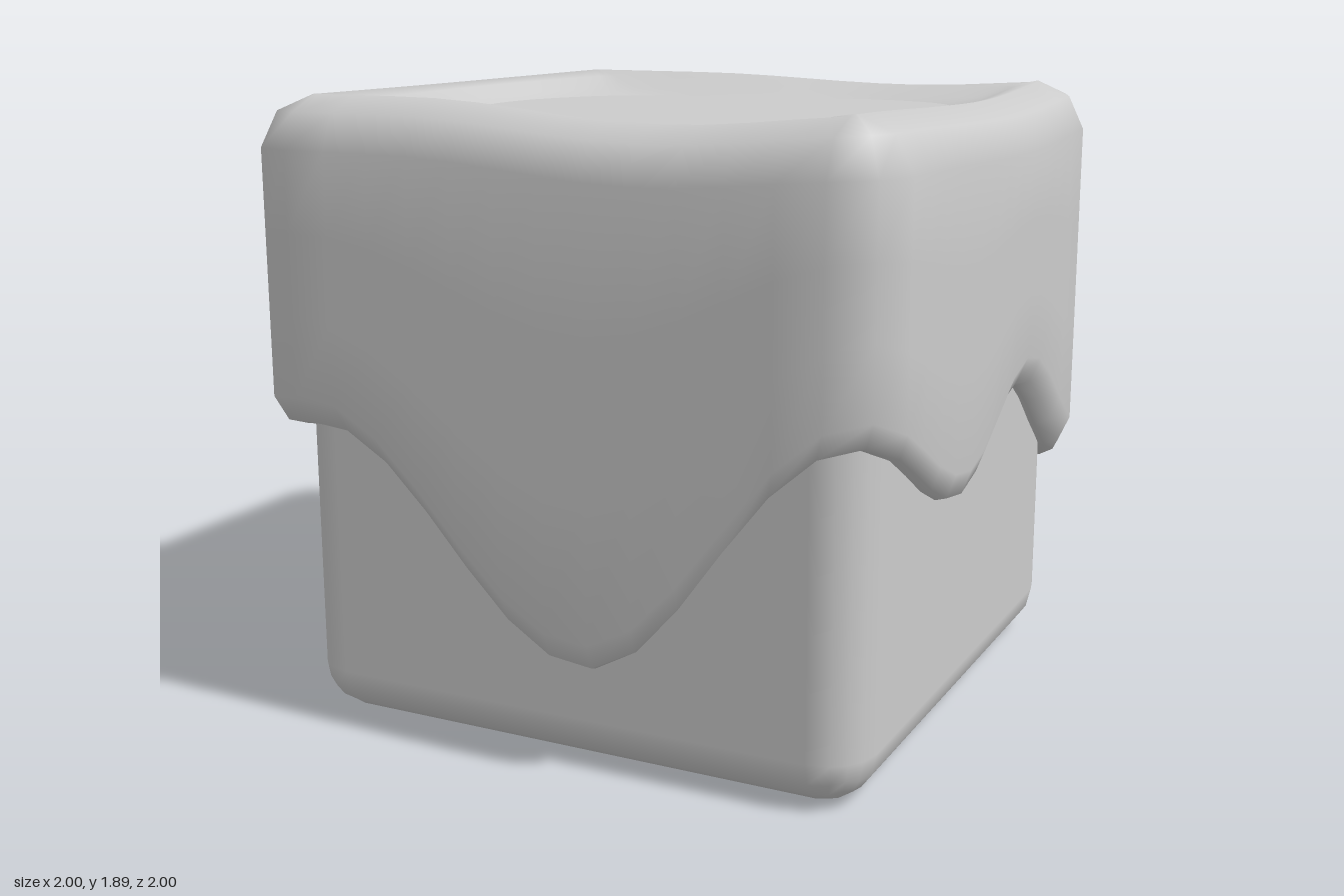
import * as THREE from 'three';
import { RoundedBoxGeometry } from 'three/addons/geometries/RoundedBoxGeometry.js';

const CORE = 0.83; // where the rounded corners of the cover begin

// Turning points [distance round the cover, height]; 0 = front at -x, going via +x, back, -x
const HEM = [[0.22, 0.935], [1.1, 0.32], [1.95, 1.04], [2.72, 0.755], [3.28, 0.98], [4.05, 0.595],
  [4.7, 1.01], [5.42, 0.585], [5.97, 0.93], [6.8, 0.6], [7.85, 0.95], [8, 0.915]];
const RIM = [[0.5, 1.895], [1.3, 1.845], [2, 1.89], [3.25, 1.86], [4, 1.89], [4.6, 1.865], [5.4, 1.89], [7, 1.89]];

// Radius of the opening on top, at 16 equal angles from +x towards +z
const OPENING = [0.65, 0.63, 0.775, 0.82, 0.765, 0.73, 0.73, 0.71, 0.74, 0.76, 0.76, 0.66, 0.655, 0.77, 0.84, 0.76];

const ease = (t) => (1 - Math.cos(Math.PI * t)) / 2;

// Smooth closed wave through the turning points
function wave(keys, s) {
  const n = keys.length;
  const first = keys[0], last = keys[n - 1];
  const all = [[last[0] - 8, last[1]], ...keys, [first[0] + 8, first[1]]];
  for (let i = 0; i <= n; i++) {
    const [s0, h0] = all[i], [s1, h1] = all[i + 1];
    if (s <= s1) return h0 + (h1 - h0) * ease((s - s0) / (s1 - s0));
  }
  return first[1];
}

function openingRadius(angle) {
  const n = OPENING.length;
  const a = ((angle / (2 * Math.PI)) * n + n) % n;
  const i = Math.floor(a), t = a - i;
  const p = (k) => OPENING[(i + k + n) % n];
  // Catmull-Rom between neighbouring radii
  return p(0) + 0.5 * t * (p(1) - p(-1) + t * (2 * p(-1) - 5 * p(0) + 4 * p(1) - p(2)
    + t * (3 * (p(0) - p(1)) + p(2) - p(-1))));
}

// Rounded-square outline, one side at a time
function outline() {
  const points = [];
  for (let side = 0; side < 4; side++) {
    const turn = (x, z) => {
      for (let k = 0; k < side; k++) [x, z] = [z, -x];
      return { x, z };
    };
    for (let i = 0; i <= 12; i++) {
      const t = -CORE + (2 * CORE * i) / 12;
      points.push({ ...turn(t, 1), s: side * 2 + t + 1 });
    }
    points.push({ ...turn(0.95, 0.95), s: side * 2 + 2 });
  }
  return points;
}

// Cross-section of the cover at one outline point, from hidden hem edge up to the opening
function section({ x, z, s }) {
  const hem = wave(HEM, s), rim = wave(RIM, s);
  const scaled = (k, y) => [x * k, y, z * k];
  const cx = THREE.MathUtils.clamp(x, -CORE, CORE), cz = THREE.MathUtils.clamp(z, -CORE, CORE);
  const rounded = (k, y) => [cx + (x - cx) * k, y, cz + (z - cz) * k];
  const shoulder = rim - 0.15, low = hem + 0.09;
  const edge = rounded(0.08, rim);
  const angle = Math.atan2(z, x), r = openingRadius(angle);
  const inner = [Math.cos(angle) * r, 1.82, Math.sin(angle) * r];
  const blend = (t) => edge.map((v, k) => v + (inner[k] - v) * (k === 1 ? ease(t) : t));
  return [
    scaled(0.89, hem + 0.03), scaled(0.93, hem), scaled(0.97, hem + 0.015), scaled(1, low),
    scaled(1, low + (shoulder - low) * 0.33), scaled(1, low + (shoulder - low) * 0.67), scaled(1, shoulder),
    rounded(0.7, rim - 0.045), edge, blend(0.33), blend(0.67), inner,
    [inner[0] * 0.9, 1.79, inner[2] * 0.9],
  ];
}

function coverGeometry() {
  const columns = outline().map(section);
  const n = columns.length, rows = columns[0].length;
  const index = [];
  for (let i = 0; i < n; i++) {
    for (let r = 0; r < rows - 1; r++) {
      const a = i * rows + r, b = ((i + 1) % n) * rows + r;
      index.push(a, b, b + 1, a, b + 1, a + 1);
    }
  }
  const geometry = new THREE.BufferGeometry();
  geometry.setAttribute('position', new THREE.Float32BufferAttribute(columns.flat(2), 3));
  geometry.setIndex(index);
  geometry.computeVertexNormals();
  return geometry;
}

export function createModel() {
  const group = new THREE.Group();
  group.name = 'drippingBlock';

  // Rounded block underneath
  const block = new THREE.Mesh(new RoundedBoxGeometry(1.82, 1.82, 1.82, 2, 0.15),
    new THREE.MeshStandardMaterial({ color: 0xcccccc }));
  block.name = 'block';
  block.position.y = 0.91;
  group.add(block);

  // Dripping cover with an opening on top
  const cover = new THREE.Mesh(coverGeometry(),
    new THREE.MeshStandardMaterial({ color: 0xcccccc, side: THREE.DoubleSide }));
  cover.name = 'drippingCover';
  group.add(cover);

  return group;
}
